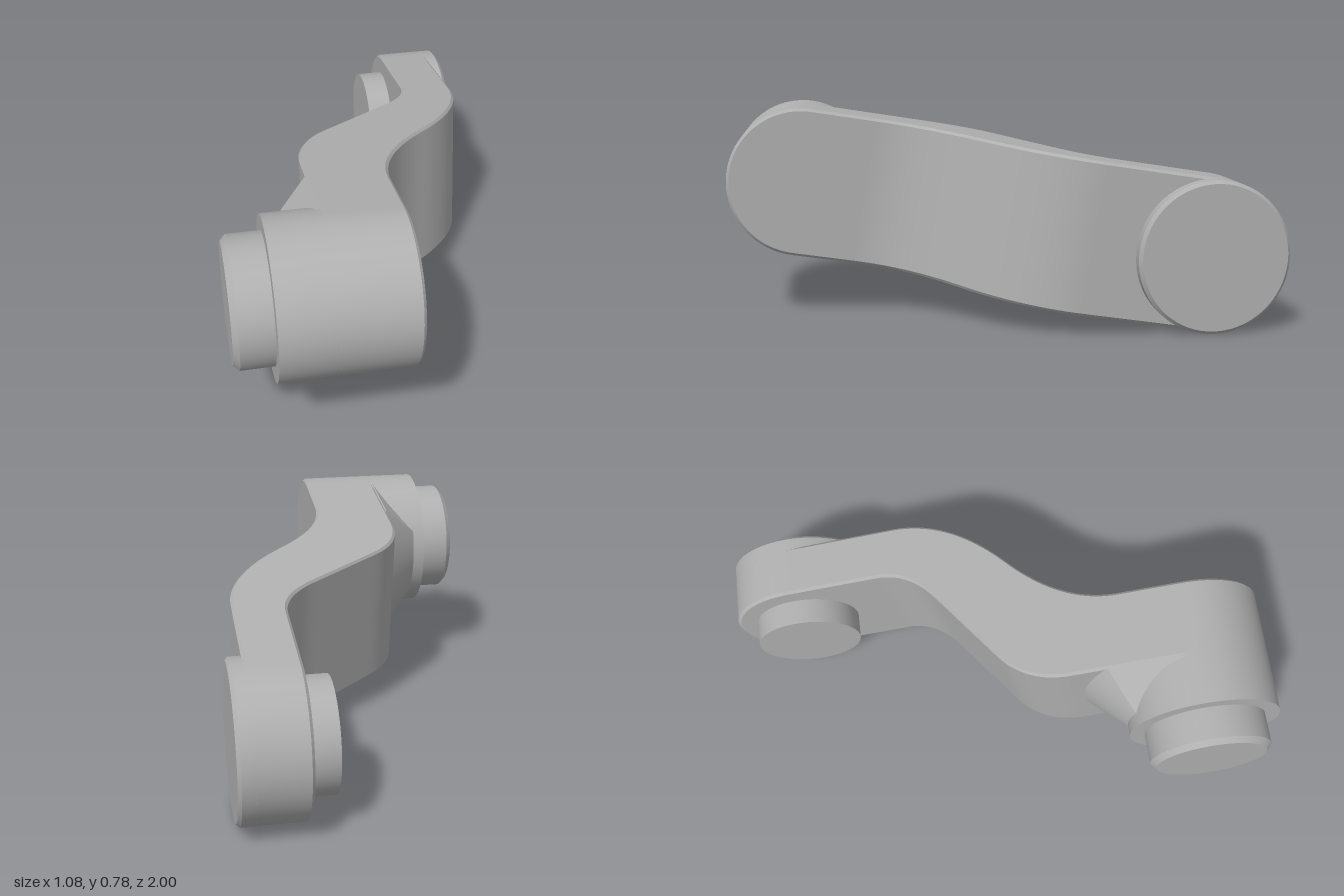
import * as THREE from 'three';
import { toCreasedNormals } from 'three/addons/utils/BufferGeometryUtils.js';

const HALF = 0.732; // half the distance between the two end axes
const R = 0.277;    // end radius
const C = 0.01;     // edge chamfer
const LEFT = -0.22; // side face of the arm at the thick end

const smooth = (g) => toCreasedNormals(g, 0.5);

// Skin a list of closed rings of [x, y, z]
function loft(rings) {
  const pos = [], index = [], n = rings[0].length;
  rings.forEach((ring) => ring.forEach((p) => pos.push(...p)));
  for (let i = 0; i < rings.length - 1; i++) {
    for (let j = 0; j < n; j++) {
      const a = i * n + j, b = i * n + (j + 1) % n;
      index.push(a, b + n, b, a, a + n, b + n);
    }
  }
  const g = new THREE.BufferGeometry();
  g.setAttribute('position', new THREE.Float32BufferAttribute(pos, 3));
  g.setIndex(index);
  return smooth(g);
}

// Side contour: x as a function of z, straight ends joined by two bends
function contour(xa, xb, z0, c0, m0, m1, c1, z1) {
  const path = new THREE.Path().moveTo(1.1, xa).lineTo(z0, xa)
    .quadraticCurveTo(c0, xa, ...m0).lineTo(...m1)
    .quadraticCurveTo(c1, xb, z1, xb).lineTo(-1.1, xb);
  const pts = path.getPoints(24).reverse();
  return (z) => {
    let i = 1;
    while (i < pts.length - 1 && pts[i].x < z) i++;
    const a = pts[i - 1], b = pts[i];
    return a.x === b.x ? a.y : THREE.MathUtils.lerp(a.y, b.y, (z - a.x) / (b.x - a.x));
  };
}

// S-bent arm with rounded ends and chamfered edges
function armGeometry() {
  const xl = contour(LEFT, 0.295, 0.287, 0.125, [0.034, -0.1], [-0.169, 0.175], -0.26, -0.38);
  const xr = contour(0.062, 0.485, 0.5, 0.297, [0.115, 0.265], [0.115, 0.265], -0.08, -0.3);
  // Upper half of the outline: centre z plus normal direction
  const stations = [];
  const N = 20, M = 80;
  for (let i = 0; i <= N; i++) stations.push([-HALF, Math.PI - i / N * Math.PI / 2]);
  for (let i = 1; i < M; i++) stations.push([-HALF + 2 * HALF * i / M, Math.PI / 2]);
  for (let i = 0; i <= N; i++) stations.push([HALF, Math.PI / 2 - i / N * Math.PI / 2]);
  return loft(stations.map(([z, a]) => {
    const at = (r) => [z + r * Math.cos(a), r * Math.sin(a)];
    const [zi, yi] = at(R - C), [zo, yo] = at(R);
    const top = [
      [xl(zi), yi, zi], [xl(zo) + C, yo, zo], [xr(zo) - C, yo, zo], [xr(zi), yi, zi],
    ];
    return [...top, ...top.map(([x, y, w]) => [x, -y, w]).reverse()];
  }));
}

// Conical web between boss and arm, its upper and lower faces sloping at 45 degrees
function gussetGeometry() {
  const rings = [], N = 24, depth = 0.14;
  for (let i = 0; i <= 8; i++) {
    const t = depth * i / 8, x = LEFT - depth + t;
    const h = R - depth + t, r = R + t;
    const ring = [[x, h, HALF]];
    for (let j = 0; j <= N; j++) {
      const y = h * (1 - 2 * j / N);
      ring.push([x, y, HALF - Math.sqrt(r * r - y * y)]);
    }
    ring.push([x, -h, HALF]);
    rings.push(ring);
  }
  return loft(rings);
}

// Disc along x from x0 to x1, with optional chamfers at its ends
function discGeometry(x0, x1, r, c0 = 0, c1 = 0) {
  const pts = [[0, x0], [r - c0, x0]];
  if (c0) pts.push([r, x0 + c0]);
  if (c1) pts.push([r, x1 - c1]);
  pts.push([r - c1, x1], [0, x1]);
  const g = new THREE.LatheGeometry(pts.map((p) => new THREE.Vector2(...p)), 64);
  return smooth(g.rotateZ(-Math.PI / 2));
}

export function createModel() {
  const steel = new THREE.MeshStandardMaterial({ color: 0xb0b0b0 });
  steel.name = 'grey steel';

  const lever = new THREE.Group();
  lever.name = 'lever';
  const add = (name, geometry, z = 0) => {
    const mesh = new THREE.Mesh(geometry, steel);
    mesh.name = name;
    mesh.position.z = z;
    lever.add(mesh);
  };

  add('arm', armGeometry());
  // Thick end: boss, web and stub shaft
  add('boss', discGeometry(-0.405, -0.2, R), HALF);
  add('gusset', gussetGeometry());
  add('stubShaft', discGeometry(-0.54, -0.39, 0.222, 0.02), HALF);
  // Thin end: round pad outside, pin inside
  add('pad', discGeometry(0.46, 0.535, R, 0, 0.012), -HALF);
  add('pin', discGeometry(0.2, 0.31, 0.2), -HALF);

  // The lever slopes down towards the back
  lever.rotation.x = -0.158;
  lever.position.y = 0.392;

  const model = new THREE.Group();
  model.name = 'crankLever';
  model.add(lever);
  return model;
}
